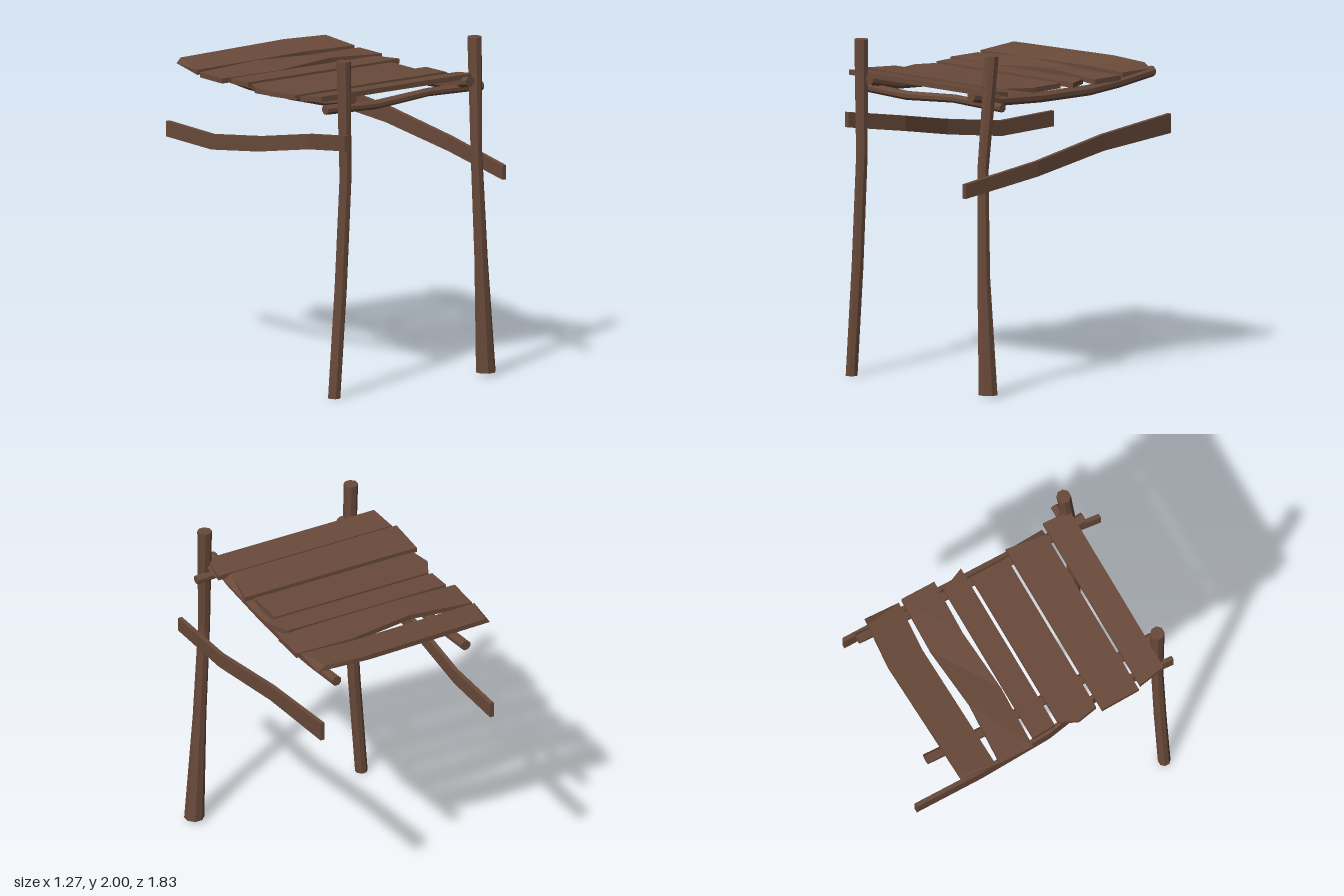
import * as THREE from 'three';

const wood = new THREE.MeshStandardMaterial({ color: 0x694a3a, flatShading: true });
wood.name = 'weathered brown wood';

// Closed solid skinned over a row of equal-sized point loops, with capped ends.
function loft(loops) {
  const n = loops[0].length, tris = [];
  for (let s = 0; s < loops.length - 1; s++) {
    const a = loops[s], b = loops[s + 1];
    for (let i = 0; i < n; i++) {
      const j = (i + 1) % n;
      tris.push([a[i], a[j], b[j]], [a[i], b[j], b[i]]);
    }
  }
  const first = loops[0], last = loops[loops.length - 1];
  for (let i = 1; i < n - 1; i++) {
    tris.push([first[0], first[i + 1], first[i]], [last[0], last[i], last[i + 1]]);
  }
  // Turn the faces outward if the loops ran the other way round.
  const v = (p) => new THREE.Vector3(...p);
  const volume = tris.reduce((sum, [a, b, c]) => sum + v(a).dot(v(b).cross(v(c))), 0);
  if (volume < 0) tris.forEach((t) => t.reverse());
  const geo = new THREE.BufferGeometry();
  geo.setAttribute('position', new THREE.Float32BufferAttribute(tris.flat(2), 3));
  geo.computeVertexNormals();
  return geo;
}

// Crooked round log running along one axis; points are [x, y, z, radius].
function log(axis, points, sides = 8) {
  return loft(points.map(([x, y, z, r]) => Array.from({ length: sides }, (_, i) => {
    const t = ((i + 0.5) / sides) * Math.PI * 2, c = r * Math.cos(t), s = r * Math.sin(t);
    if (axis === 'y') return [x + c, y, z + s];
    if (axis === 'x') return [x, y + c, z + s];
    return [x + c, y + s, z];
  })));
}

// Upright board running along z; points are [x, yBottom, yTop, z].
function brace(points, thick = 0.026) {
  const h = thick / 2;
  return loft(points.map(([x, lo, hi, z]) =>
    [[x - h, lo, z], [x + h, lo, z], [x + h, hi, z], [x - h, hi, z]]));
}

// Deck board running along x; rows are
// [xBack, zBack, yBack, xFront, zFront, yFront, top inset back, top inset front].
function plank(rows, thick = 0.03) {
  return loft(rows.map(([xb, zb, yb, xf, zf, yf, db = 0, df = 0]) => [
    [xb, yb, zb], [xf, yf, zf], [xf + df, yf + thick, zf], [xb + db, yb + thick, zb],
  ]));
}

const planks = [
  [
    [-0.61, -0.68, 1.765, -0.63, -0.455, 1.735, 0.03, 0],
    [0.2, -0.71, 1.77, 0.2, -0.48, 1.738],
    [0.53, -0.68, 1.765, 0.52, -0.455, 1.735, -0.05, 0],
  ],
  [
    [-0.63, -0.43, 1.725, -0.635, -0.21, 1.725],
    [-0.23, -0.41, 1.75, -0.23, -0.195, 1.725],
    [0.17, -0.44, 1.725, 0.17, -0.225, 1.745],
    [0.535, -0.43, 1.725, 0.535, -0.21, 1.725],
  ],
  [
    [-0.59, -0.185, 1.725, -0.58, -0.035, 1.725],
    [0.465, -0.185, 1.725, 0.53, -0.035, 1.725],
  ],
  [
    [-0.625, 0.1, 1.718, -0.6, 0.23, 1.718],
    [-0.57, -0.01, 1.718, -0.56, 0.23, 1.718],
    [0.45, -0.01, 1.718, 0.45, 0.23, 1.718],
  ],
  [
    [-0.635, 0.25, 1.727, -0.635, 0.495, 1.745],
    [0.505, 0.25, 1.727, 0.51, 0.495, 1.745, 0, -0.05],
  ],
  [
    [-0.615, 0.515, 1.738, -0.59, 0.685, 1.76],
    [0.535, 0.515, 1.738, 0.54, 0.685, 1.76, 0, -0.02],
  ],
];

// Sagging rail height at each depth.
const railLine = [[0.73, 1.757], [0.5, 1.708], [0.15, 1.687], [-0.25, 1.68], [-0.5, 1.697], [-0.78, 1.73]];

export function createModel() {
  const group = new THREE.Group();
  const add = (name, geometry) => {
    const mesh = new THREE.Mesh(geometry, wood);
    mesh.name = name;
    group.add(mesh);
  };

  // Front posts
  add('rightPost', log('y', [
    [-0.528, 0, 0.725, 0.037], [-0.48, 0.65, 0.725, 0.037],
    [-0.445, 1.3, 0.725, 0.036], [-0.455, 1.99, 0.72, 0.043],
  ]));
  add('leftPost', log('y', [
    [0.58, 0.015, 0.725, 0.059], [0.545, 0.7, 0.725, 0.04],
    [0.523, 1.32, 0.71, 0.035], [0.547, 2, 0.66, 0.043],
  ]));

  // Rails under the deck and the beam between the posts
  add('rightRail', log('z', railLine.map(([z, y]) => [-0.39, y, z - 0.01, 0.032])));
  add('leftRail', log('z', railLine.map(([z, y]) => [0.455, y, z + 0.01, 0.032])));
  add('frontBeam', log('x', [
    [-0.53, 1.697, 0.64, 0.029], [-0.16, 1.682, 0.64, 0.027],
    [0.22, 1.708, 0.64, 0.025], [0.615, 1.697, 0.64, 0.026],
  ]));

  // Side braces
  add('leftBrace', brace([
    [0.57, 1.19, 1.275, 0.915], [0.607, 1.26, 1.35, 0.35],
    [0.583, 1.34, 1.437, -0.22], [0.565, 1.375, 1.49, -0.8],
  ]));
  add('rightBrace', brace([
    [-0.495, 1.475, 1.565, 0.8], [-0.44, 1.41, 1.5, 0.38],
    [-0.495, 1.335, 1.425, -0.03], [-0.495, 1.272, 1.362, -0.48],
    [-0.495, 1.278, 1.37, -0.915],
  ]));

  // Deck boards from back to front
  planks.forEach((rows, i) => add(`deckPlank${i + 1}`, plank(rows)));

  return group;
}
